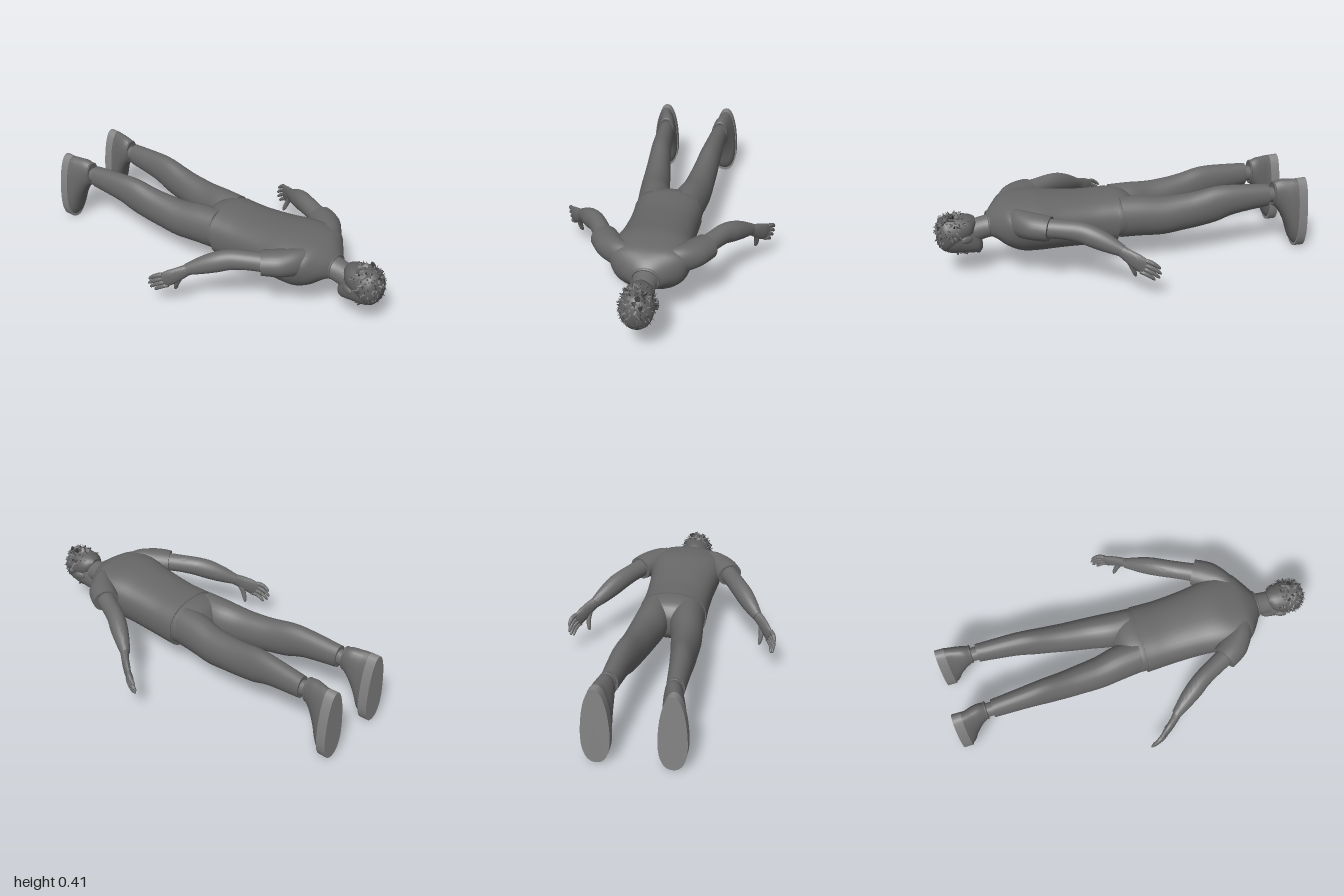
import * as THREE from 'three';
import { toCreasedNormals } from 'three/addons/utils/BufferGeometryUtils.js';

const paint = color => new THREE.MeshStandardMaterial({ color, side: THREE.DoubleSide });
const cloth = paint(0x686868), skin = paint(0x6c6c6c), rubber = paint(0x848484);
const hairTones = [paint(0x808080), paint(0x606060), paint(0x444444)];
const V = (x, y, z) => new THREE.Vector3(x, y, z);

let seed = 7;
function rnd() {
  seed = (seed * 16807) % 2147483647;
  return seed / 2147483647;
}

function add(parent, name, material, geometry, pos = [0, 0, 0], scale = [1, 1, 1]) {
  const mesh = new THREE.Mesh(geometry, material);
  mesh.name = name;
  mesh.position.set(...pos);
  mesh.scale.set(...scale);
  parent.add(mesh);
  return mesh;
}

// Smooth skin through rows of [x, y, z, rx, ry, squareness = 2, taper = 0].
// Rings lie in the XY plane, or square to the path when follow is true.
function loft(rows, { follow = false, sides = 28, steps = 4 } = {}) {
  const full = rows.map(r => [...r, ...[2, 0].slice(r.length - 5)]);
  const at = i => full[Math.min(Math.max(i, 0), full.length - 1)];
  const rings = [];
  for (let i = 0; i < full.length - 1; i++) {
    for (let s = 0; s < steps || (i === full.length - 2 && s === steps); s++) {
      const t = s / steps;
      rings.push(at(i).map((p1, k) => {
        const p0 = at(i - 1)[k], p2 = at(i + 1)[k], p3 = at(i + 2)[k];
        return p1 + 0.5 * t * (p2 - p0 + t * (2 * p0 - 5 * p1 + 4 * p2 - p3 + t * (3 * (p1 - p2) + p3 - p0)));
      }));
    }
  }
  const centre = r => V(r[0], r[1], r[2]);
  const pos = [], idx = [], last = rings.length - 1;
  rings.forEach((r, i) => {
    const dir = centre(rings[Math.min(i + 1, last)]).sub(centre(rings[Math.max(i - 1, 0)])).normalize();
    if (!follow) dir.set(0, 0, Math.sign(dir.z));
    const u = V(0, 1, 0).cross(dir).normalize(), v = dir.clone().cross(u);
    for (let j = 0; j < sides; j++) {
      const a = j / sides * Math.PI * 2, c = Math.cos(a), s = Math.sin(a), e = 2 / r[5];
      const px = Math.sign(c) * Math.abs(c) ** e, py = Math.sign(s) * Math.abs(s) ** e;
      const p = centre(r).addScaledVector(u, px * r[3] * (1 + r[6] * py)).addScaledVector(v, py * r[4]);
      pos.push(p.x, p.y, p.z);
    }
  });
  for (let i = 0; i < last; i++) for (let j = 0; j < sides; j++) {
    const a = i * sides + j, b = i * sides + (j + 1) % sides;
    idx.push(a, b, b + sides, a, b + sides, a + sides);
  }
  // End caps
  const n = pos.length / 3;
  pos.push(...rings[0].slice(0, 3), ...rings[last].slice(0, 3));
  for (let j = 0; j < sides; j++) {
    const k = (j + 1) % sides;
    idx.push(n, k, j, n + 1, last * sides + j, last * sides + k);
  }
  const g = new THREE.BufferGeometry();
  g.setAttribute('position', new THREE.Float32BufferAttribute(pos, 3));
  g.setIndex(idx);
  return toCreasedNormals(g, 0.9);
}

function buildHead() {
  const head = new THREE.Group();
  head.name = 'head';
  add(head, 'neck', skin, loft([[0, .275, .67, .08, .062], [0, .262, .73, .06, .06], [0, .245, .8, .058, .064]]));
  add(head, 'skull', skin, loft([
    [0, .175, .752, .025, .035], [0, .188, .77, .05, .064], [0, .215, .81, .066, .087, 2.2],
    [0, .236, .86, .076, .1, 2.2], [0, .238, .91, .079, .1], [0, .24, .95, .07, .083], [0, .245, .98, .03, .04]]));
  const ball = new THREE.SphereGeometry(1, 16, 12);
  add(head, 'nose', skin, loft([[0, .131, .827, .008, .005], [0, .131, .834, .016, .016], [0, .135, .85, .011, .013], [0, .14, .88, .007, .008]], { sides: 12 }));
  add(head, 'upperLip', skin, ball, [0, .133, .808], [.024, .008, .006]);
  add(head, 'lowerLip', skin, ball, [0, .133, .798], [.02, .008, .006]);
  add(head, 'chin', skin, ball, [0, .137, .775], [.027, .018, .018]);
  for (const s of [-1, 1]) {
    add(head, 'eye', skin, ball, [s * .03, .148, .869], [.014, .01, .008]);
    add(head, 'eyebrow', hairTones[2], ball, [s * .032, .145, .887], [.02, .008, .006]);
    const ear = add(head, 'ear', skin, ball, [s * .083, .235, .84], [.009, .02, .032]);
    ear.rotation.y = s * .3;
  }
  // Hair cap covered with short tufts
  add(head, 'hairCap', hairTones[1], loft([
    [0, .295, .785, .035, .03], [0, .277, .815, .068, .062], [0, .264, .87, .082, .083],
    [0, .25, .92, .084, .096], [0, .247, .955, .074, .09], [0, .247, .984, .04, .05]]));
  const tuft = new THREE.ConeGeometry(.015, .05, 5);
  for (let i = 0; i < 260; i++) {
    const h = 1 - 1.8 * (i + .5) / 260, a = i * 2.39996 + rnd() * .4, w = (1 - h * h) ** .35;
    const n = V(Math.cos(a) * w, Math.sin(a) * w, h);
    if (n.y < -.25 && n.z < .4) continue;
    if (n.z < -.2 && n.y < .4) continue;
    const p = V(n.x * .08, .255 + n.y * .088, .892 + n.z * .09);
    const lock = add(head, 'hairTuft', hairTones[i % 3], tuft, p.toArray());
    const lean = V(rnd() - .5, rnd() - .9, rnd() - .75).addScaledVector(n, .7).normalize();
    lock.quaternion.setFromUnitVectors(V(0, 1, 0), lean);
  }
  return head;
}

function buildArm() {
  const arm = new THREE.Group();
  arm.name = 'arm';
  const path = { follow: true };
  add(arm, 'sleeve', cloth, loft([
    [.08, .318, .61, .05, .07], [.155, .325, .575, .058, .073], [.205, .326, .525, .073, .07],
    [.235, .326, .485, .073, .067], [.26, .324, .445, .07, .063]], path));
  add(arm, 'forearm', skin, loft([
    [.235, .325, .49, .05, .052], [.285, .325, .39, .047, .05], [.33, .318, .305, .046, .054],
    [.37, .3, .245, .046, .055], [.41, .275, .185, .039, .047], [.455, .245, .12, .025, .031]], path));
  add(arm, 'palm', skin, loft([
    [.445, .252, .135, .024, .029], [.478, .228, .1, .02, .037],
    [.51, .2, .058, .018, .044], [.532, .177, .025, .012, .042]], path));
  const finger = (name, a, b, r) => {
    const rows = [0, .3, .6, .88, 1].map((t, i) => {
      const p = a.clone().lerp(b, t);
      const k = r * [1, 1.05, .95, .75, .3][i], bend = Math.sin(t * Math.PI) * .007;
      return [p.x + bend, p.y + bend, p.z, k, k];
    });
    add(arm, name, skin, loft(rows, { follow: true, sides: 12, steps: 3 }));
  };
  [.85, 1, .98, .8].forEach((len, i) => {
    const o = -.036 + .024 * i;
    const base = V(.527 + .25 * o, .184 + .9 * o, .036 - .36 * o);
    finger('finger', base, base.clone().add(V(.032, -.052, -.082).multiplyScalar(len)), .011);
  });
  finger('thumb', V(.475, .205, .1), V(.474, .106, .058), .0135);
  return arm;
}

function buildLeg() {
  const leg = new THREE.Group();
  leg.name = 'leg';
  add(leg, 'trouserLeg', cloth, loft([
    [.09, .26, .03, .085, .112], [.096, .257, -.08, .09, .111], [.115, .25, -.2, .082, .105],
    [.126, .26, -.32, .074, .1], [.134, .271, -.4, .068, .1], [.142, .29, -.5, .062, .1],
    [.15, .307, -.6, .056, .083], [.16, .313, -.79, .046, .063]]));
  add(leg, 'ankle', skin, loft([[.16, .312, -.76, .037, .045], [.16, .312, -.83, .036, .042], [.163, .31, -.9, .04, .045]]));
  // Shoe, pointing down with the sole facing back
  add(leg, 'shoeUpper', cloth, loft([
    [.162, .32, -.822, .04, .066, 2], [.165, .307, -.86, .048, .09, 2.2, -.05],
    [.173, .268, -.9, .056, .13, 2.3, -.12], [.18, .222, -.93, .062, .177, 2.3, -.18],
    [.183, .203, -.96, .066, .195, 2.3, -.2]]));
  add(leg, 'shoeCollar', cloth, new THREE.TorusGeometry(.04, .006, 8, 24), [.162, .32, -.825], [1, 1.55, 1]);
  add(leg, 'shoeSole', rubber, loft([[.183, .2, -.95, .069, .199, 2.3, -.2], [.183, .2, -1, .069, .2, 2.3, -.2]], { steps: 1, sides: 40 }));
  return leg;
}

export function createModel() {
  const model = new THREE.Group();
  model.name = 'proneMan';
  add(model, 'shirt', cloth, loft([
    [0, .248, .055, .182, .134, 2.5], [0, .248, .1, .18, .134, 2.5], [0, .248, .2, .177, .135, 2.5, .03],
    [0, .257, .35, .183, .142, 2.4, .08], [0, .266, .47, .195, .147, 2.5, .12], [0, .27, .56, .2, .138, 2.6, .15],
    [0, .281, .63, .182, .116, 2.5, .13], [0, .286, .68, .125, .085, 2.1], [0, .277, .715, .07, .062]], { sides: 40 }));
  add(model, 'shirtCollar', cloth, new THREE.TorusGeometry(.064, .007, 8, 32), [0, .275, .716], [1.05, .95, 1]);
  add(model, 'trouserSeat', cloth, loft([
    [0, .25, .1, .168, .122, 2.4], [0, .258, .03, .178, .121, 2.3],
    [0, .256, -.04, .16, .1, 2.2], [0, .252, -.075, .07, .06], [0, .25, -.085, .03, .03]], { sides: 36 }));
  model.add(buildHead());
  for (const s of [1, -1]) {
    const half = new THREE.Group();
    half.name = s > 0 ? 'leftLimbs' : 'rightLimbs';
    half.add(buildArm(), buildLeg());
    half.scale.x = s;
    model.add(half);
  }
  return model;
}
